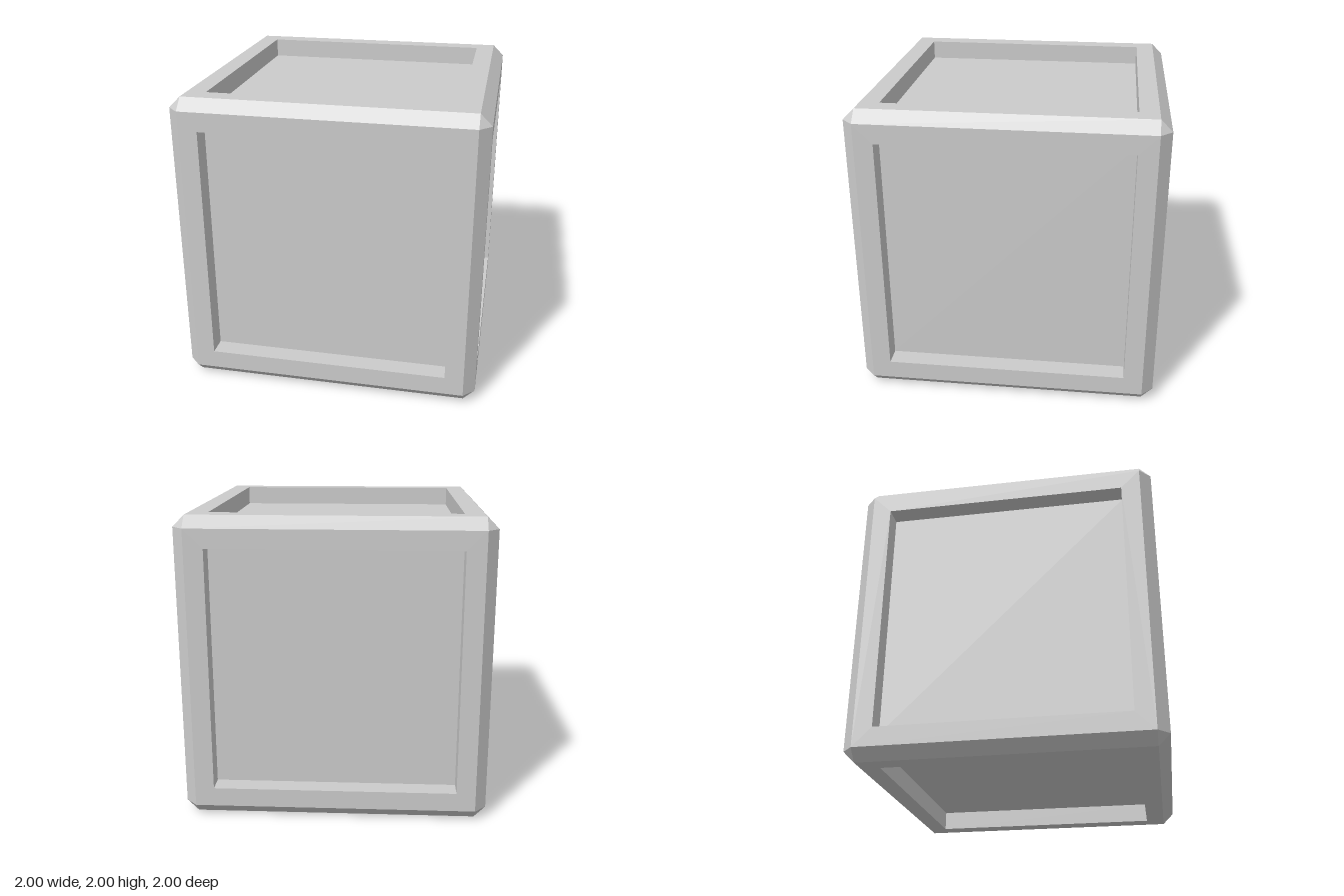
import * as THREE from 'three';
import { mergeGeometries } from 'three/addons/utils/BufferGeometryUtils.js';

const HALF = 1;        // half the cube
const FLAT = 0.925;    // half the flat face inside the chamfer
const INSET = 0.8;     // half the recessed panel
const DEPTH = 0.13;    // depth of the recess
const QUARTER = Math.PI / 2;

const material = new THREE.MeshStandardMaterial({ color: 0xcccccc, flatShading: true });

function add(parent, name, geometry) {
  const mesh = new THREE.Mesh(geometry, material);
  mesh.name = name;
  parent.add(mesh);
  return mesh;
}

function squarePath(PathType, h) {
  return new PathType([[-h, -h], [h, -h], [h, h], [-h, h]].map(([x, y]) => new THREE.Vector2(x, y)));
}

// One side facing +z: flat border, four recess walls and the sunken panel
function createSide(name) {
  const side = new THREE.Group();
  side.name = name;

  const border = squarePath(THREE.Shape, FLAT);
  border.holes.push(squarePath(THREE.Path, INSET));
  add(side, 'border', new THREE.ShapeGeometry(border).translate(0, 0, HALF));

  const walls = [];
  for (let k = 0; k < 4; k++) {
    walls.push(new THREE.PlaneGeometry(2 * INSET, DEPTH)
      .rotateX(-QUARTER)
      .translate(0, -INSET, HALF - DEPTH / 2)
      .rotateZ(k * QUARTER));
  }
  add(side, 'recessWalls', mergeGeometries(walls));

  add(side, 'panel', new THREE.PlaneGeometry(2 * INSET, 2 * INSET).translate(0, 0, HALF - DEPTH));
  return side;
}

// Chamfer strips along all twelve edges
function createEdges() {
  const strips = [];
  const middle = (HALF + FLAT) / 2;
  for (let axis = 0; axis < 3; axis++) {
    for (let k = 0; k < 4; k++) {
      const strip = new THREE.PlaneGeometry(2 * FLAT, (HALF - FLAT) * Math.SQRT2)
        .rotateX(QUARTER / 2)
        .translate(0, -middle, middle)
        .rotateX(k * QUARTER);
      if (axis === 1) strip.rotateZ(QUARTER);
      if (axis === 2) strip.rotateY(QUARTER);
      strips.push(strip);
    }
  }
  return mergeGeometries(strips);
}

// Small triangles closing the eight corners
function createCorners() {
  const points = [];
  for (const x of [-1, 1]) for (const y of [-1, 1]) for (const z of [-1, 1]) {
    const triangle = [
      [x * HALF, y * FLAT, z * FLAT],
      [x * FLAT, y * HALF, z * FLAT],
      [x * FLAT, y * FLAT, z * HALF],
    ];
    if (x * y * z < 0) triangle.reverse();
    points.push(...triangle.flat());
  }
  const geometry = new THREE.BufferGeometry();
  geometry.setAttribute('position', new THREE.Float32BufferAttribute(points, 3));
  geometry.computeVertexNormals();
  return geometry;
}

export function createModel() {
  const model = new THREE.Group();
  model.name = 'crate';
  const body = new THREE.Group();
  body.name = 'body';
  body.position.y = HALF;
  model.add(body);

  ['frontSide', 'leftSide', 'backSide', 'rightSide'].forEach((name, k) => {
    const side = createSide(name);
    side.rotation.y = k * QUARTER;
    body.add(side);
  });
  for (const [name, turn] of [['topSide', -QUARTER], ['bottomSide', QUARTER]]) {
    const side = createSide(name);
    side.rotation.x = turn;
    body.add(side);
  }

  add(body, 'edgeChamfers', createEdges());
  add(body, 'cornerChamfers', createCorners());
  return model;
}
